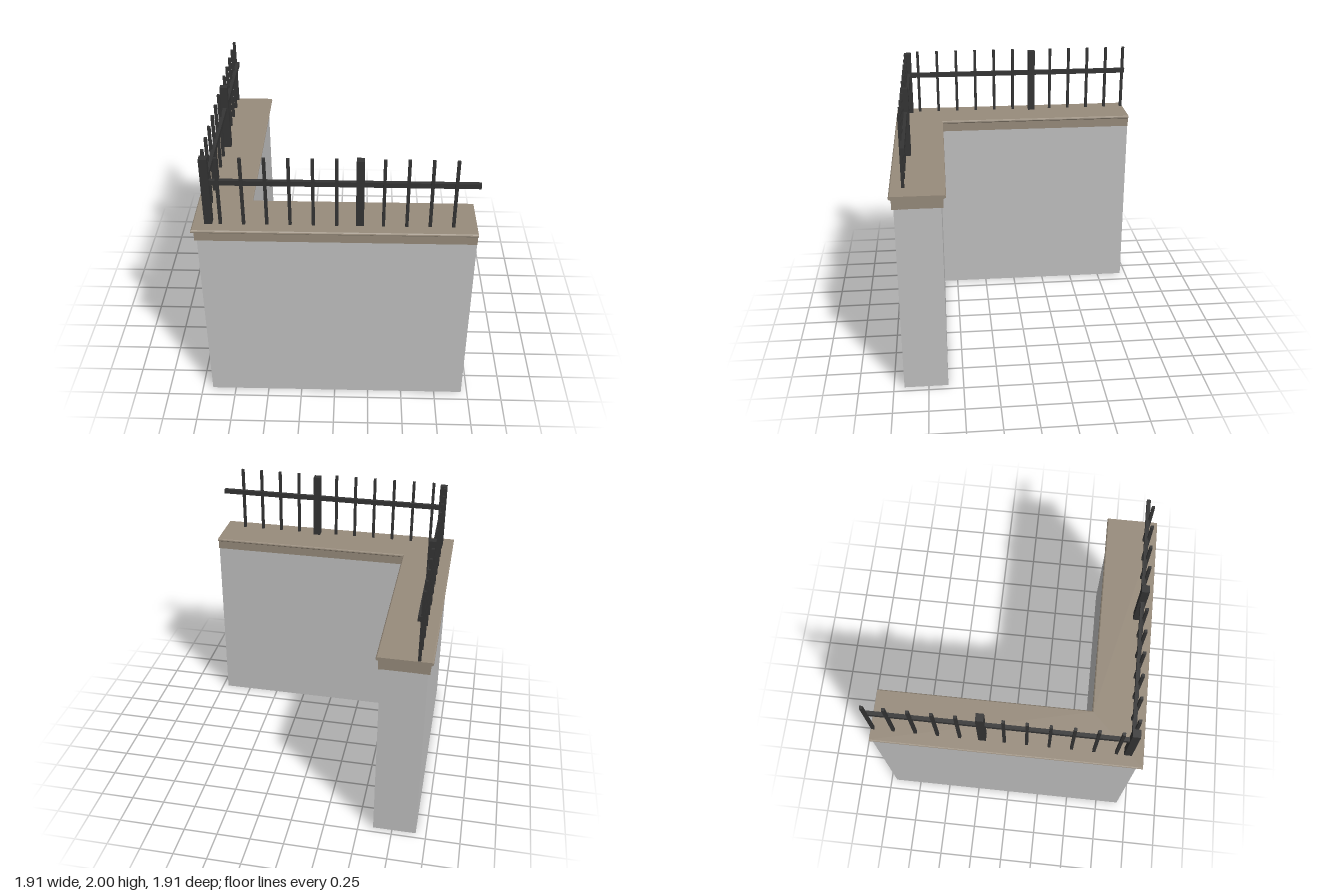
import * as THREE from 'three';

const END = 0.955;     // cut ends of both wings
const OUTER = 0.925;   // outer wall face
const INNER = 0.61;    // inner wall face

// L-shaped plan, counter-clockwise from above, grown sideways by d
function plan(d) {
  const o = OUTER + d, i = INNER - d;
  return [[-o, -END], [-o, o], [END, o], [END, i], [-i, i], [-i, -END]];
}

// Solid lofted through a profile of [sideways growth, height]
function loftL(profile) {
  const rings = profile.map(([d, y]) => plan(d).map(([x, z]) => [x, y, z]));
  const pos = [];
  const tri = (a, b, c) => pos.push(...a, ...b, ...c);
  for (let k = 0; k < rings.length - 1; k++) {
    const lo = rings[k], hi = rings[k + 1];
    for (let j = 0; j < 6; j++) {
      const n = (j + 1) % 6;
      tri(lo[j], lo[n], hi[n]);
      tri(lo[j], hi[n], hi[j]);
    }
  }
  // Bottom and top, fanned from the inner corner
  const bottom = rings[0], top = rings[rings.length - 1];
  for (const [a, b] of [[5, 0], [0, 1], [1, 2], [2, 3]]) {
    tri(top[4], top[a], top[b]);
    tri(bottom[4], bottom[b], bottom[a]);
  }
  const geo = new THREE.BufferGeometry();
  geo.setAttribute('position', new THREE.Float32BufferAttribute(pos, 3));
  geo.computeVertexNormals();
  return geo;
}

export function createModel() {
  const model = new THREE.Group();
  const wallGrey = new THREE.MeshStandardMaterial({ color: 0xc0c0c0 });
  wallGrey.name = 'wall grey';
  const copingStone = new THREE.MeshStandardMaterial({ color: 0x978b7b });
  copingStone.name = 'coping stone';
  const darkIron = new THREE.MeshStandardMaterial({ color: 0x343434 });
  darkIron.name = 'dark iron';

  const add = (parent, name, geo, mat, x = 0, y = 0, z = 0) => {
    const mesh = new THREE.Mesh(geo, mat);
    mesh.name = name;
    mesh.position.set(x, y, z);
    parent.add(mesh);
  };

  // Wall and its moulded coping
  add(model, 'wall', loftL([[0, 0], [0, 1.4]]), wallGrey);
  add(model, 'coping', loftL([
    [0, 1.398], [0.014, 1.398], [0.014, 1.464], [0.024, 1.467],
    [0.031, 1.472], [0.033, 1.478], [0.031, 1.485], [0.024, 1.49],
  ]), copingStone);

  // Railing: along is the running axis, dir its direction from the corner
  const BASE = 1.48, LINE = 0.847, FACE = 0.863;
  const post = new THREE.BoxGeometry(0.054, 1.99 - BASE, 0.054);
  const picket = new THREE.BoxGeometry(0.021, 2 - BASE, 0.021);
  const postY = (1.99 + BASE) / 2, picketY = (2 + BASE) / 2;

  function railing(name, place, count) {
    const group = new THREE.Group();
    group.name = name;
    const put = (part, geo, t, y, out) => {
      const [x, z] = place(t, out);
      add(group, part, geo, darkIron, x, y, z);
    };
    const length = END + LINE;
    const [ax] = place(0, LINE), [bx] = place(1, LINE);
    const alongX = ax !== bx;
    const rail = new THREE.BoxGeometry(alongX ? length : 0.028, 0.036, alongX ? 0.028 : length);
    put('rail', rail, (END - LINE) / 2, 1.807, LINE);
    put('middlePost', post, 0.17, postY, LINE);
    for (let i = 0; i < count; i++) {
      if (i === 6) continue; // the middle post stands here
      put('picket', picket, Math.min(-0.766 + i * 0.1562, 0.94), picketY, FACE);
    }
    model.add(group);
  }
  railing('frontRailing', (t, out) => [t, out], 11);
  railing('sideRailing', (t, out) => [-out, -t], 12);
  add(model, 'cornerPost', post, darkIron, -LINE, postY, LINE);

  return model;
}
